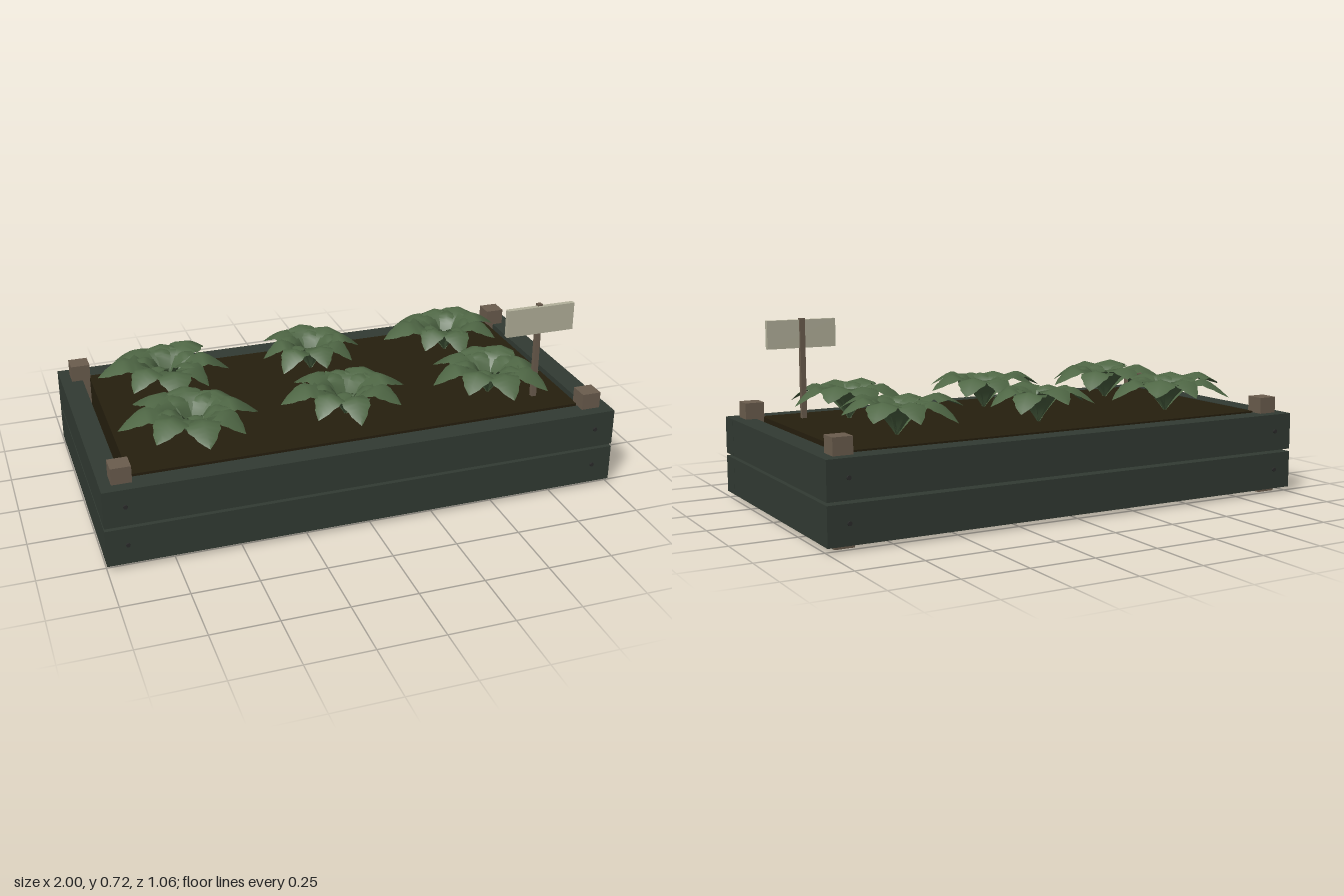
import * as THREE from 'three';

const material = (name, color, side = THREE.FrontSide) => {
  const m = new THREE.MeshStandardMaterial({ color, side });
  m.name = name;
  return m;
};

// One arching leaf pointing along +x: cross-sections of edge, midrib, edge
function leafGeometry(length, peak, tipY, width) {
  const spine = new THREE.CatmullRomCurve3([
    [0, 0], [0.16, peak * 0.42], [0.38, peak * 0.82], [0.58, peak],
    [0.8, peak * 0.6 + tipY * 0.4], [1, tipY],
  ].map(([r, y]) => new THREE.Vector3(r * length, y, 0)));
  const steps = 14, pos = [], index = [];
  for (let i = 0; i <= steps; i++) {
    const t = i / steps;
    const p = spine.getPoint(t);
    const notch = i % 2 && t > 0.3 ? 0.9 : 1; // toothed margin
    const w = i === steps ? 0.001
      : width * notch * (0.1 + 0.9 * Math.sin(Math.PI * Math.pow(t, 1.1)) ** 1.1);
    const fold = w * (t < 0.45 ? 0.1 : -0.28);
    pos.push(p.x, p.y + fold, -w, p.x, p.y, 0, p.x, p.y + fold, w);
    if (i === steps) break;
    for (let k = 0; k < 2; k++) {
      const a = i * 3 + k;
      index.push(a, a + 1, a + 3, a + 1, a + 4, a + 3);
    }
  }
  const g = new THREE.BufferGeometry();
  g.setAttribute('position', new THREE.Float32BufferAttribute(pos, 3));
  g.setIndex(index);
  g.computeVertexNormals();
  return g;
}

export function createModel() {
  const model = new THREE.Group();
  const paint = material('dark green paint', 0x323b33);
  const wood = material('brown wood', 0x6b5d4e);
  const soilMat = material('soil', 0x261f0e);
  const leafMat = material('leaf green', 0x4f6745, THREE.DoubleSide);
  const board = material('pale board', 0xb4b29c);
  const metal = material('dark metal', 0x2b2b2b);

  const box = (name, mat, w, h, d, x, y, z, parent = model) => {
    const m = new THREE.Mesh(new THREE.BoxGeometry(w, h, d), mat);
    m.name = name;
    m.position.set(x, y, z);
    parent.add(m);
    return m;
  };

  // Two courses of planks, the ends fitted between the long sides
  for (const y of [0.0925, 0.2485]) {
    for (const s of [-1, 1]) {
      box('longPlank', paint, 2, 0.145, 0.085, 0, y, s * 0.482);
      box('endPlank', paint, 0.085, 0.145, 0.879, s * 0.957, y, 0);
      // Screw heads on the long sides
      for (const x of [-0.92, 0.92]) {
        const screw = new THREE.Mesh(new THREE.CylinderGeometry(0.008, 0.008, 0.006, 10), metal);
        screw.name = 'screw';
        screw.rotation.x = Math.PI / 2;
        screw.position.set(x, y + 0.005, s * 0.528);
        model.add(screw);
      }
    }
  }

  // Corner posts
  for (const x of [-1, 1]) for (const z of [-1, 1])
    box('cornerPost', wood, 0.075, 0.385, 0.075, x * 0.92, 0.1925, z * 0.442);

  // Soil filling
  box('soil', soilMat, 1.77, 0.3, 0.862, 0, 0.176, 0);

  // Plants: centre, then leaf reach every 45 degrees from +x towards -z
  const plants = [
    [-0.6, -0.22, [0.25, 0.26, 0.21, 0.26, 0.28, 0.24, 0.26, 0.2]],
    [0, -0.22, [0.21, 0.23, 0.2, 0.22, 0.2, 0.21, 0.2, 0.19]],
    [0.6, -0.22, [0.22, 0.24, 0.21, 0.24, 0.28, 0.21, 0.21, 0.22]],
    [-0.6, 0.22, [0.25, 0.25, 0.23, 0.27, 0.28, 0.26, 0.26, 0.23]],
    [0, 0.22, [0.24, 0.24, 0.2, 0.22, 0.26, 0.22, 0.22, 0.23]],
    [0.6, 0.22, [0.22, 0.23, 0.23, 0.24, 0.23, 0.23, 0.24, 0.25]],
  ];
  plants.forEach(([x, z, reach], n) => {
    const plant = new THREE.Group();
    plant.name = 'plant';
    plant.position.set(x, 0.325, z);
    const addLeaf = (name, angle, ...shape) => {
      const leaf = new THREE.Mesh(leafGeometry(...shape), leafMat);
      leaf.name = name;
      leaf.rotation.y = angle;
      plant.add(leaf);
    };
    reach.forEach((r, i) => {
      const vary = ((i * 5 + n * 3) % 7) / 7;
      addLeaf('outerLeaf', i * Math.PI / 4 + (vary - 0.5) * 0.12, r,
        0.13 + vary * 0.018, 0.055 + vary * 0.04, 0.25 * r + 0.008);
    });
    // Short upright leaves in the heart
    for (let i = 0; i < 5; i++)
      addLeaf('innerLeaf', i * Math.PI * 0.4 + 0.35 + n, 0.14, 0.13, 0.125, 0.032);
    model.add(plant);
  });

  // Blank plant marker
  const sign = new THREE.Group();
  sign.name = 'marker';
  box('markerStake', wood, 0.02, 0.4, 0.02, 0.755, 0.517, 0.309, sign);
  box('markerBoard', board, 0.28, 0.11, 0.02, 0.755, 0.656, 0.32, sign);
  model.add(sign);

  return model;
}
